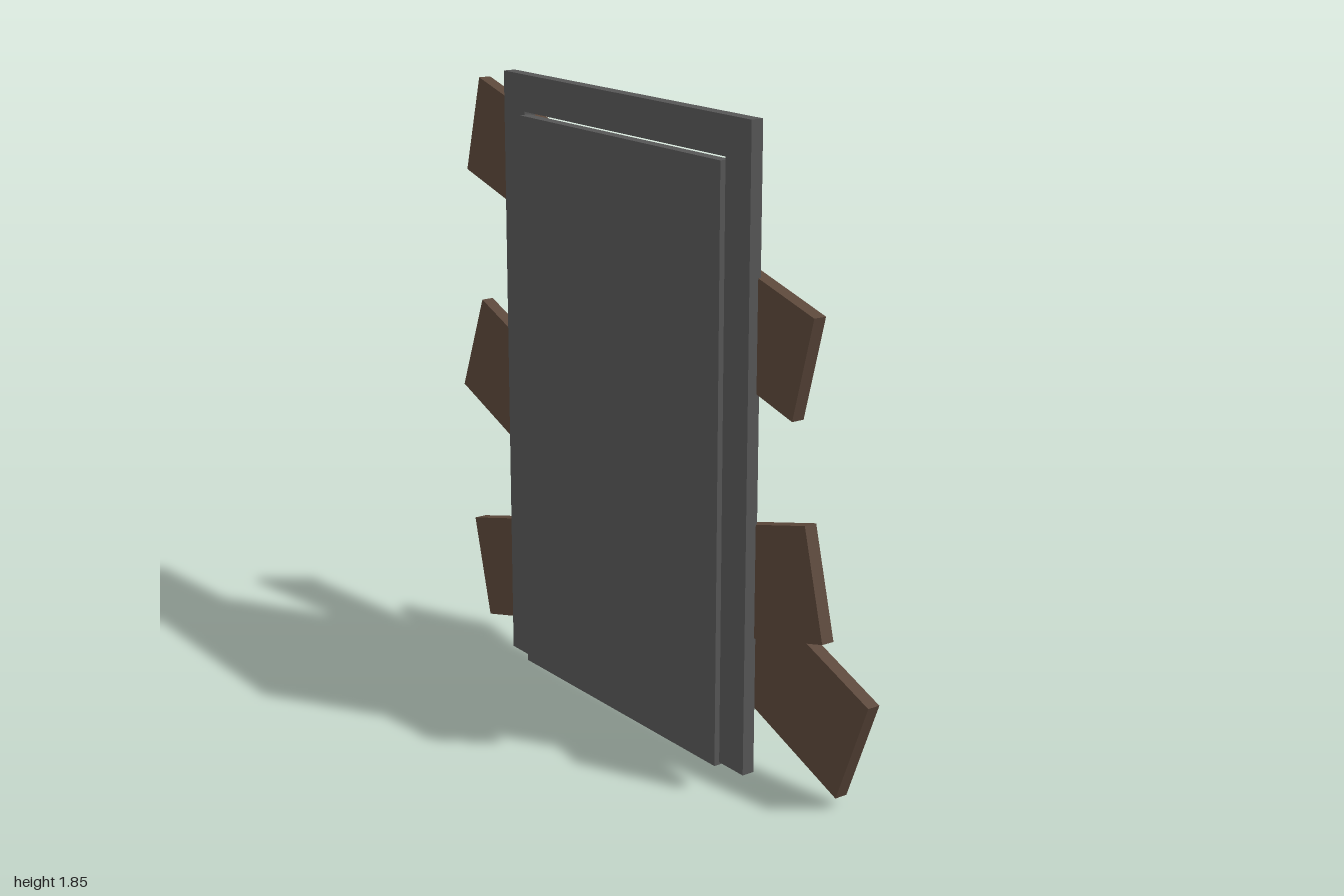
import * as THREE from 'three';

const material = (name, color) => {
  const m = new THREE.MeshStandardMaterial({ color });
  m.name = name;
  return m;
};

export function createModel() {
  const model = new THREE.Group();
  model.name = 'boardedDoor';
  const paint = material('dark grey paint', 0x565656);
  const wood = material('brown wood', 0x5b473a);
  const steel = material('light steel', 0xb0b0b0);

  const add = (name, geometry, mat, x = 0, y = 0, z = 0) => {
    const mesh = new THREE.Mesh(geometry, mat);
    mesh.name = name;
    mesh.position.set(x, y, z);
    model.add(mesh);
    return mesh;
  };

  // The door faces +x: outlines are drawn as (-z, y) and given depth along x
  const outline = (Type, points) => new Type(points.map(([z, y]) => new THREE.Vector2(-z, y)));
  const rect = (z0, z1, y0, y1) => [[z1, y0], [z0, y0], [z0, y1], [z1, y1]];
  const sheet = (name, points, holes, x0, x1) => {
    const shape = outline(THREE.Shape, points);
    shape.holes = holes.map((h) => outline(THREE.Path, h));
    const geo = new THREE.ExtrudeGeometry(shape, { depth: x1 - x0, bevelEnabled: false });
    return add(name, geo.rotateY(Math.PI / 2), paint, x0);
  };

  // Frame: two jambs and a head in one piece
  sheet('doorFrame', [
    [0.583, 0.008], [0.476, 0.008], [0.476, 1.735], [-0.488, 1.735],
    [-0.488, 0.008], [-0.596, 0.008], [-0.596, 1.845], [0.583, 1.845],
  ], [], -0.073, -0.035);

  // Door leaf with two recessed panels
  const leaf = rect(-0.487, 0.475, 0, 1.726);
  sheet('doorLeafBack', leaf, [], -0.089, -0.075);
  sheet('doorLeafFront', leaf, [
    rect(-0.392, 0.397, 1.12, 1.646),
    rect(-0.392, 0.397, 0.083, 0.972),
  ], -0.075, -0.055);

  // Push bar and its two posts
  const bar = new THREE.CylinderGeometry(0.029, 0.029, 0.865, 16).rotateX(Math.PI / 2);
  add('pushBar', bar, steel, 0.058, 1.066, -0.008);
  for (const z of [0.36, -0.38]) {
    const post = new THREE.CylinderGeometry(0.018, 0.018, 0.11, 16).rotateZ(Math.PI / 2);
    add('pushBarPost', post, steel, 0, 1.06, z);
  }

  // Planks nailed across: [name, x, y, z, width, length, slope, twist]
  const planks = [
    ['upperPlank', -0.022, 1.434, -0.029, 0.305, 1.664, 15.3, -0.2],
    ['lowerPlank', -0.02, 0.4225, 0.001, 0.32, 1.711, -14.7, 0],
    ['frontPlank', 0.031, 0.555, 0, 0.328, 2.022, 21.6, 0],
  ];
  for (const [name, x, y, z, width, length, slope, twist] of planks) {
    const plank = add(name, new THREE.BoxGeometry(0.039, width, length), wood, x, y, z);
    plank.rotation.set(THREE.MathUtils.degToRad(slope), THREE.MathUtils.degToRad(twist), 0);
  }
  return model;
}
